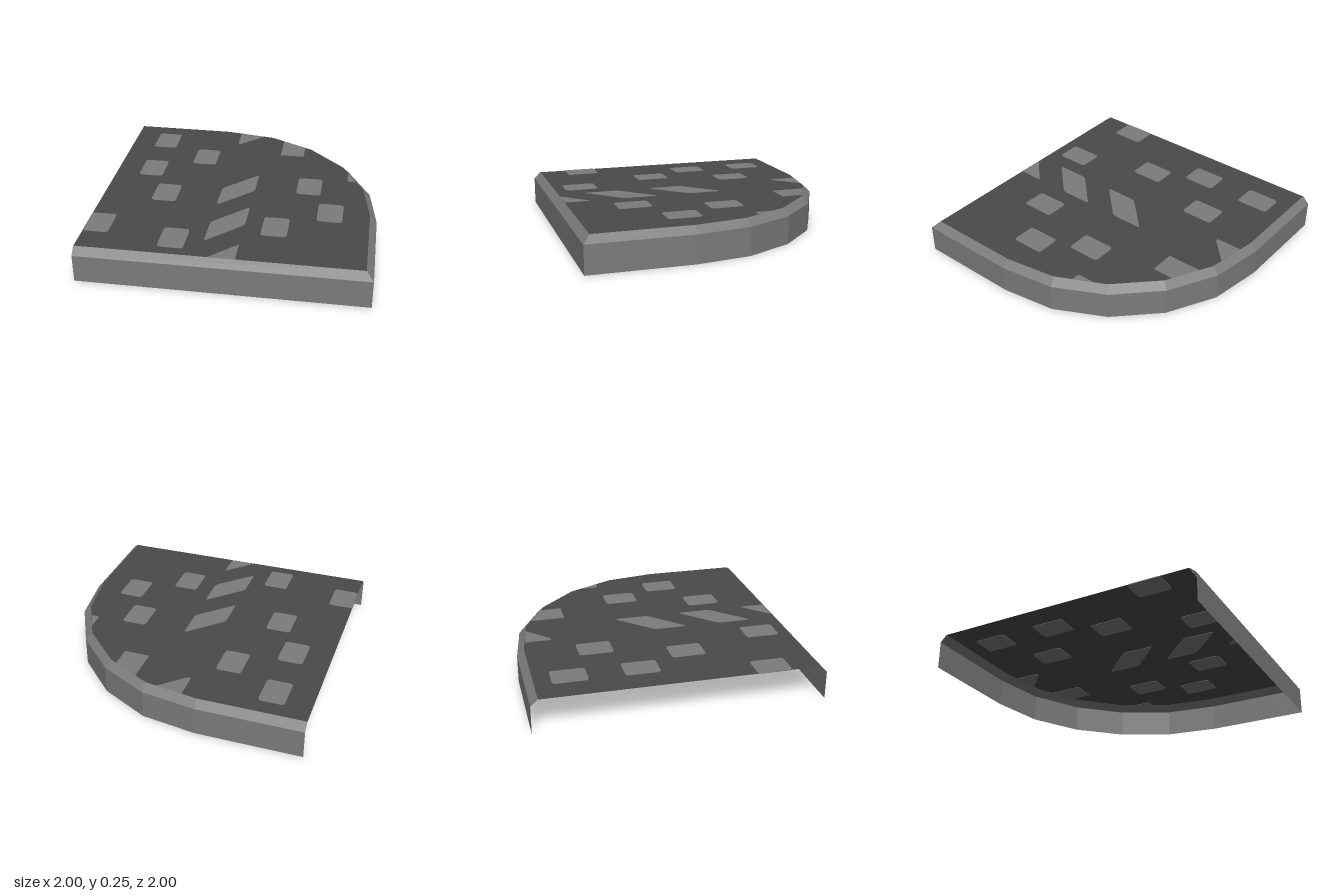
import * as THREE from 'three';

const flat = (name, color) => {
  const m = new THREE.MeshStandardMaterial({ color, side: THREE.DoubleSide, flatShading: true });
  m.name = name;
  return m;
};

// Plan outlines as [x, z], from front left round to back left
const OUTER = [[-1, 1], [1, 1], [1, 0.26], [0.94, -0.13], [0.76, -0.48], [0.48, -0.76], [0.13, -0.94], [-0.26, -1], [-1, -1]];
const INNER = [[-1, 0.95], [0.95, 0.95], [0.95, 0.26], [0.89, -0.11], [0.72, -0.45], [0.45, -0.72], [0.12, -0.89], [-0.26, -0.95], [-1, -0.95]];
const EDGE_Y = 0.2, TOP_Y = 0.25, PLATE = 0.006;

const planShape = (pts) => new THREE.Shape(pts.map(([x, z]) => new THREE.Vector2(x, -z)));

// Strip of flat quads between two outlines
function band(low, yLow, high, yHigh) {
  const pos = [];
  for (let i = 0; i < low.length - 1; i++) {
    const a = [low[i][0], yLow, low[i][1]], b = [low[i + 1][0], yLow, low[i + 1][1]];
    const c = [high[i + 1][0], yHigh, high[i + 1][1]], d = [high[i][0], yHigh, high[i][1]];
    pos.push(...a, ...b, ...c, ...a, ...c, ...d);
  }
  const g = new THREE.BufferGeometry();
  g.setAttribute('position', new THREE.Float32BufferAttribute(pos, 3));
  g.computeVertexNormals();
  return g;
}

// Softens each corner of a polygon with a small rounded curve
function softShape(pts, r = 0.025) {
  const v = pts.map(([x, z]) => new THREE.Vector2(x, -z));
  const s = new THREE.Shape();
  v.forEach((p, i) => {
    const prev = v[(i + v.length - 1) % v.length], next = v[(i + 1) % v.length];
    const a = p.clone().add(prev.clone().sub(p).setLength(r));
    const b = p.clone().add(next.clone().sub(p).setLength(r));
    if (i === 0) s.moveTo(a.x, a.y); else s.lineTo(a.x, a.y);
    s.quadraticCurveTo(p.x, p.y, b.x, b.y);
  });
  s.closePath();
  return s;
}

export function createModel() {
  const group = new THREE.Group();
  const slate = flat('dark grey surface', 0x4a4a4a);
  const stone = flat('light grey stone', 0x7c7c7c);
  const add = (name, geo, mat) => {
    const mesh = new THREE.Mesh(geo, mat);
    mesh.name = name;
    group.add(mesh);
    return mesh;
  };

  // Open shell: upright side, sloped rim and flat top
  add('sideWall', band(OUTER, 0, OUTER, EDGE_Y), stone);
  add('slopedRim', band(OUTER, EDGE_Y, INNER, TOP_Y), stone);
  add('topSurface', new THREE.ShapeGeometry(planShape(INNER)).rotateX(-Math.PI / 2), slate).position.y = TOP_Y - PLATE / 2;

  // Thin inlays, visible from above and below
  const inlay = (name, shape) => {
    const geo = new THREE.ExtrudeGeometry(shape, { depth: PLATE, bevelEnabled: false, curveSegments: 3 });
    add(name, geo.rotateX(-Math.PI / 2), stone).position.y = TOP_Y - PLATE;
  };

  // Whole rectangular patches: left x and back z
  const W = 0.18, D = 0.243;
  [[-0.82, -0.833], [-0.45, -0.59], [-0.82, -0.347], [-0.635, 0.02], [-1, 0.507], [-0.45, 0.628],
    [0.4, -0.225], [0.58, 0.14], [0.217, 0.385]].forEach(([x, z]) =>
    inlay('squarePatch', softShape([[x, z + D], [x + W, z + D], [x + W, z], [x, z]])));

  // Slanted patches down the middle
  [0, 0.49].forEach((dz) =>
    inlay('slantedPatch', softShape([[-0.15, 0.265 + dz], [0.095, 0.02 + dz], [0.095, -0.225 + dz], [-0.15, 0.02 + dz]])));

  // Patches cut off by the rim
  [[[-0.15, -0.93], [-0.15, -0.745], [-0.125, -0.745], [0.04, -0.902]],
    [[-0.09, 0.948], [0.095, 0.948], [0.095, 0.765]],
    [[0.217, -0.59], [0.4, -0.59], [0.4, -0.745], [0.217, -0.838]],
    [[0.765, -0.355], [0.765, -0.24], [0.78, -0.228], [0.828, -0.228]]].forEach((pts) =>
    inlay('cutPatch', planShape(pts)));

  return group;
}
